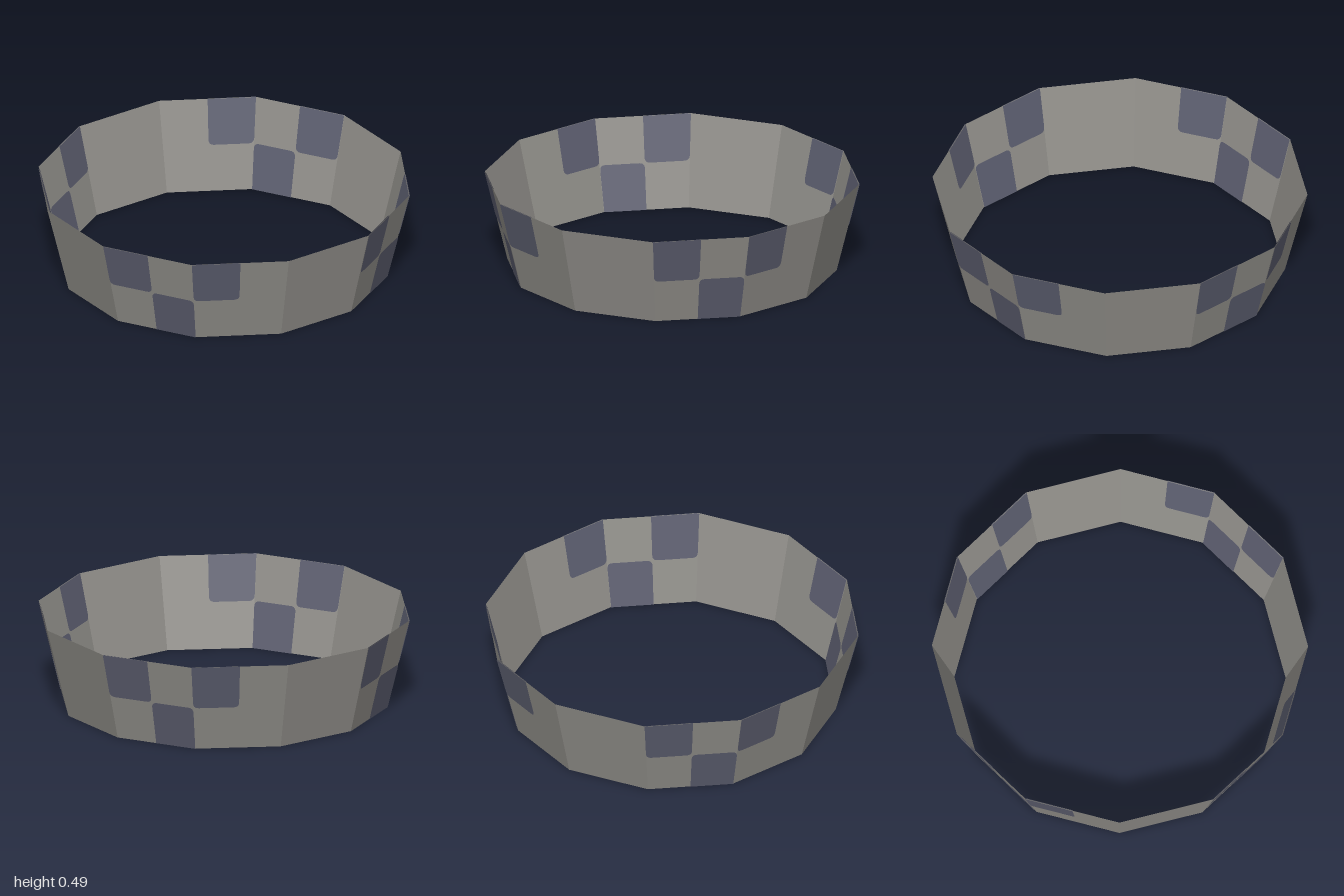
import * as THREE from 'three';

const SIDES = 12, HEIGHT = 0.49, TOP = 1, BOTTOM = 0.88, SKIN = 0.003;

// Point on a flat side: t runs along it, h from bottom to top, off pushes it off the wall
function wallPoint(side, t, h, off) {
  const r = BOTTOM + (TOP - BOTTOM) * h + off;
  const corner = (i) => {
    const a = (i / SIDES) * Math.PI * 2;
    return new THREE.Vector3(Math.sin(a) * r, HEIGHT * h, Math.cos(a) * r);
  };
  return corner(side).lerp(corner(side + 1), t);
}

// Quarter tile in unit coordinates, with the two corners at mid height rounded
function tileShape(t0, upper) {
  const t1 = t0 + 0.5, edge = upper ? 1 : 0, mid = 0.5, r = 0.06;
  const back = upper ? mid + r : mid - r;
  const s = new THREE.Shape();
  s.moveTo(t0, edge);
  s.lineTo(t0, back);
  s.quadraticCurveTo(t0, mid, t0 + r, mid);
  s.lineTo(t1 - r, mid);
  s.quadraticCurveTo(t1, mid, t1, back);
  s.lineTo(t1, edge);
  s.closePath();
  return s;
}

function tileGeometry(side, t0, upper, off) {
  const g = new THREE.ShapeGeometry(tileShape(t0, upper), 5);
  const p = g.attributes.position;
  for (let i = 0; i < p.count; i++) {
    const v = wallPoint(side, p.getX(i), p.getY(i), off);
    p.setXYZ(i, v.x, v.y, v.z);
  }
  g.computeVertexNormals();
  return g;
}

export function createModel() {
  const model = new THREE.Group();
  model.name = 'checkeredRing';

  const stone = new THREE.MeshStandardMaterial({ color: 0x8f8d88, flatShading: true, side: THREE.DoubleSide });
  stone.name = 'warm grey';
  const slate = new THREE.MeshStandardMaterial({ color: 0x5b5d6e, flatShading: true, side: THREE.DoubleSide });
  slate.name = 'slate blue';

  // Open flared wall
  const wall = new THREE.Mesh(new THREE.CylinderGeometry(TOP, BOTTOM, HEIGHT, SIDES, 1, true), stone);
  wall.name = 'ringWall';
  wall.position.y = HEIGHT / 2;
  model.add(wall);

  // Three checker tiles per quarter turn, on the outside and the inside
  const tiles = [[1, 0, true], [1, 0.5, false], [2, 0, true]];
  for (let quarter = 0; quarter < 4; quarter++) {
    const group = new THREE.Group();
    group.name = 'checkerTiles' + (quarter + 1);
    for (const [side, t0, upper] of tiles) {
      for (const off of [SKIN, -SKIN]) {
        const tile = new THREE.Mesh(tileGeometry(quarter * 3 + side, t0, upper, off), slate);
        tile.name = (off > 0 ? 'outer' : 'inner') + (upper ? 'Upper' : 'Lower') + 'Tile';
        group.add(tile);
      }
    }
    model.add(group);
  }
  return model;
}
